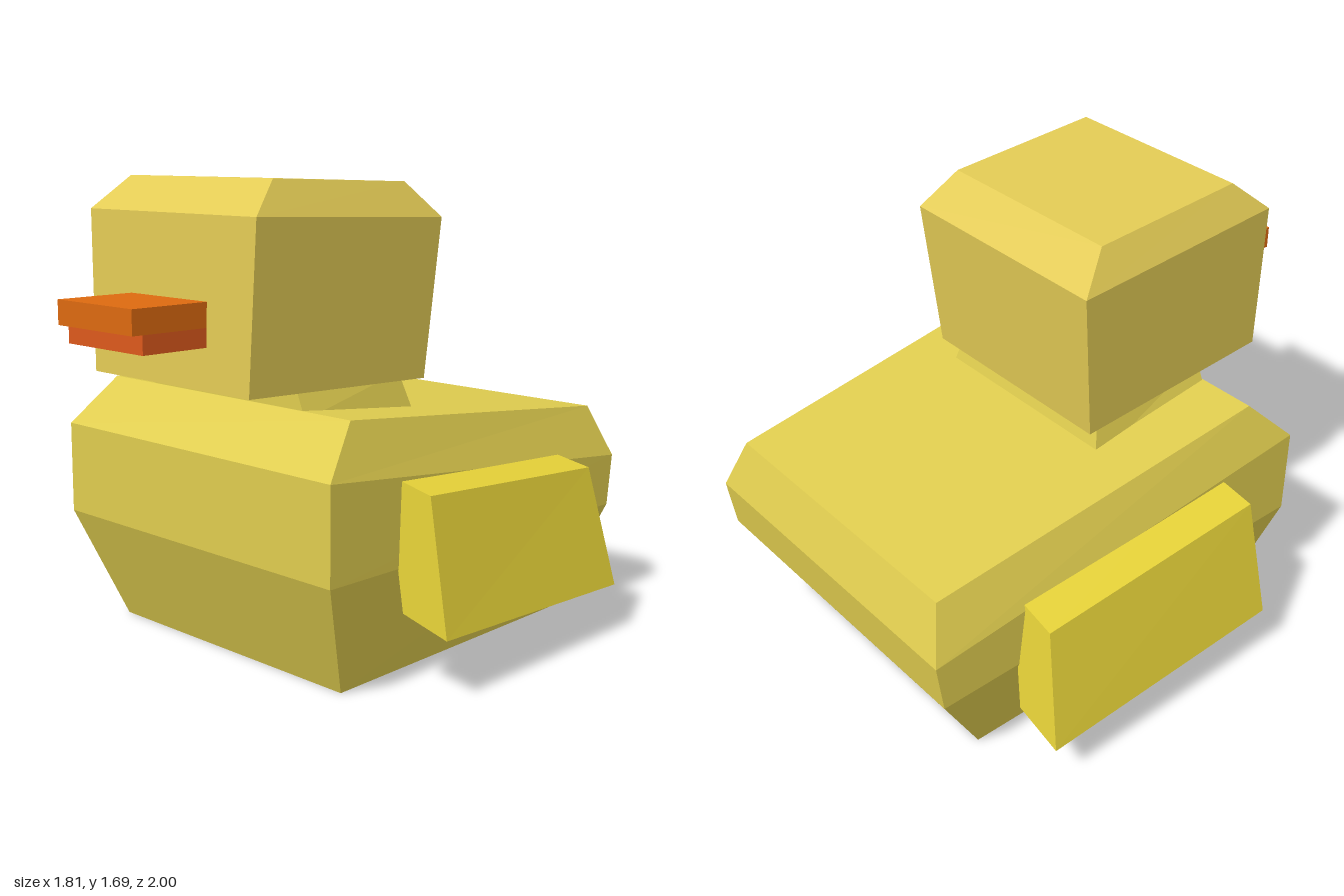
import * as THREE from 'three';

const material = (color) => new THREE.MeshStandardMaterial({ color, flatShading: true });
const BODY = material(0xe0cd4f);
const HEAD = material(0xe3cb55);
const WING = material(0xe6d238);
const BILL_TOP = material(0xdd6a10);
const BILL_LOW = material(0xdd591c);

// Closed solid from stacked four-cornered rings, each counter-clockwise seen from above
function loft(name, rings, mat) {
  const pos = [];
  const quad = (a, b, c, d) => pos.push(...a, ...b, ...c, ...a, ...c, ...d);
  for (let r = 0; r < rings.length - 1; r++) {
    for (let i = 0; i < 4; i++) {
      const n = (i + 1) % 4;
      quad(rings[r][i], rings[r][n], rings[r + 1][n], rings[r + 1][i]);
    }
  }
  quad(...[...rings[0]].reverse());
  quad(...rings[rings.length - 1]);
  const geo = new THREE.BufferGeometry();
  geo.setAttribute('position', new THREE.Float32BufferAttribute(pos, 3));
  geo.computeVertexNormals();
  const mesh = new THREE.Mesh(geo, mat);
  mesh.name = name;
  return mesh;
}

// Symmetric ring: half width, y and z of its front edge, then of its back edge
const ring = (fw, fy, fz, bw, by, bz) => [[fw, fy, fz], [bw, by, bz], [-bw, by, bz], [-fw, fy, fz]];

function box(name, w, y0, y1, z0, z1, mat) {
  const mesh = new THREE.Mesh(new THREE.BoxGeometry(w, y1 - y0, z1 - z0), mat);
  mesh.position.set(0, (y0 + y1) / 2, (z0 + z1) / 2);
  mesh.name = name;
  return mesh;
}

export function createModel() {
  const model = new THREE.Group();
  model.name = 'blockyDuck';

  // Body, tapering towards the tail
  model.add(loft('body', [
    ring(0.58, 0, 0.46, 0.53, 0, -0.76),
    ring(0.695, 0.42, 0.625, 0.635, 0.4, -0.975),
    ring(0.695, 0.76, 0.625, 0.635, 0.595, -1),
    ring(0.62, 0.93, 0.46, 0.56, 0.79, -0.93),
  ], BODY));

  // Neck, sunk into body and head
  model.add(loft('neck', [
    ring(0.405, 0.9, 0.455, 0.405, 0.83, -0.095),
    ring(0.36, 1.01, 0.455, 0.36, 1.0, -0.05),
  ], BODY));

  // Head with bevelled crown
  model.add(loft('head', [
    ring(0.41, 1.0, 0.705, 0.41, 0.975, -0.13),
    ring(0.435, 1.575, 0.69, 0.435, 1.545, -0.185),
    ring(0.37, 1.69, 0.56, 0.37, 1.67, -0.06),
  ], HEAD));

  // Bill
  model.add(box('upperBill', 0.4, 1.21, 1.295, 0.6, 1.0, BILL_TOP));
  model.add(box('lowerBill', 0.4, 1.145, 1.21, 0.6, 0.96, BILL_LOW));

  // Wings: outer front, outer back, inner back, inner front
  const wing = [
    [[0.905, 0.225, 0.305], [0.87, 0.185, -0.695], [0.675, 0.23, -0.685], [0.71, 0.27, 0.3]],
    [[0.81, 0.685, 0.285], [0.775, 0.625, -0.64], [0.58, 0.665, -0.63], [0.615, 0.725, 0.28]],
  ];
  const mirrored = wing.map((r) => r.map(([x, y, z]) => [-x, y, z]).reverse());
  model.add(loft('leftWing', wing, WING), loft('rightWing', mirrored, WING));

  return model;
}
